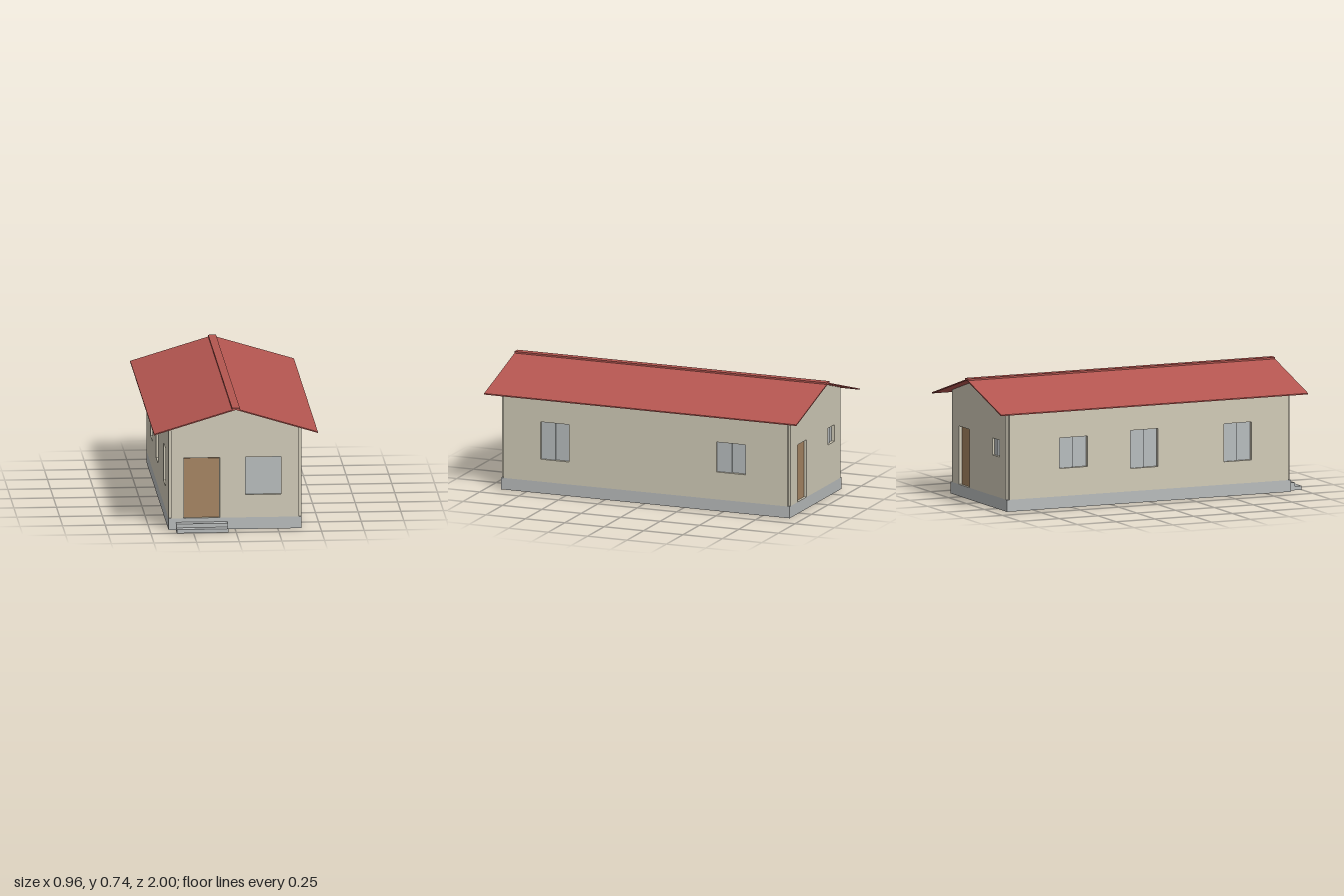
import * as THREE from 'three';

const mat = (name, color) => {
  const m = new THREE.MeshStandardMaterial({ color });
  m.name = name;
  return m;
};

export function createModel() {
  const wallMat = mat('plaster', 0xd0cab7);
  const stoneMat = mat('concrete', 0xb8bbbb);
  const glassMat = mat('glass', 0xb7bcbd);
  const doorMat = mat('wood', 0xa58462);
  const roofMat = mat('roof red', 0xb45650);

  const house = new THREE.Group();
  house.name = 'house';

  // Box given by its limits on each axis
  const box = (parent, name, m, x0, x1, y0, y1, z0, z1) => {
    const mesh = new THREE.Mesh(new THREE.BoxGeometry(x1 - x0, y1 - y0, z1 - z0), m);
    mesh.position.set((x0 + x1) / 2, (y0 + y1) / 2, (z0 + z1) / 2);
    mesh.name = name;
    parent.add(mesh);
  };

  const extrude = (parent, name, m, shape, z0, z1) => {
    const geo = new THREE.ExtrudeGeometry(shape, { depth: z1 - z0, bevelEnabled: false });
    geo.translate(0, 0, z0);
    const mesh = new THREE.Mesh(geo, m);
    mesh.name = name;
    parent.add(mesh);
  };

  const polygon = pts => new THREE.Shape(pts.map(p => new THREE.Vector2(...p)));

  // Plinth and front steps
  const base = 0.07;
  box(house, 'plinth', stoneMat, -0.39, 0.39, 0, base, -0.92, 0.91);
  box(house, 'lowerStep', stoneMat, -0.348, -0.046, 0, 0.023, 0.9, 1);
  box(house, 'upperStep', stoneMat, -0.348, -0.046, 0, 0.046, 0.9, 0.955);

  // Wall in its own frame: outer face at z = 0, openings as [x0, x1, y0, y1]
  const thick = 0.03;
  const addWall = (name, outline, windows, doors, angle, x, z) => {
    const wall = new THREE.Group();
    wall.name = name;
    const shape = polygon(outline);
    for (const [x0, x1, y0, y1] of windows) {
      shape.holes.push(new THREE.Path(
        [[x0, y0], [x0, y1], [x1, y1], [x1, y0]].map(p => new THREE.Vector2(...p))));
      // Two sliding panes, one set slightly forward
      const mid = (x0 + x1) / 2;
      box(wall, 'windowPane', glassMat, x0, mid, y0, y1, -thick, -0.013);
      box(wall, 'windowPane', glassMat, mid, x1, y0, y1, -thick, -0.021);
    }
    for (const [x0, x1, y0, y1] of doors) {
      shape.holes.push(new THREE.Path(
        [[x0, y0 + 0.0005], [x0, y1], [x1, y1], [x1, y0 + 0.0005]].map(p => new THREE.Vector2(...p))));
      box(wall, 'doorFrame', wallMat, x0, x1, y0, y1, -thick, -0.022);
      box(wall, 'doorLeaf', doorMat, x0 + 0.004, x1 - 0.004, y0, y1 - 0.005, -thick, -0.016);
    }
    extrude(wall, name + 'Panel', wallMat, shape, -thick, 0);
    wall.rotation.y = angle;
    wall.position.set(x, 0, z);
    house.add(wall);
  };

  // Gable walls stop short of the corners, leaving small notches
  const gable = [[-0.375, base], [0.375, base], [0.375, 0.615], [0, 0.729], [-0.375, 0.615]];
  addWall('frontWall', gable, [[0.06, 0.27, 0.205, 0.43]], [[-0.303, -0.09, base, 0.43]], 0, 0, 0.91);
  addWall('backWall', gable, [[0.19, 0.288, 0.31, 0.41]], [[-0.275, -0.132, base, 0.415]], Math.PI, 0, -0.92);

  // Side walls
  const side = (a, b) => [[a, base], [b, base], [b, 0.612], [a, 0.612]];
  addWall('leftWall', side(-0.895, 0.905),
    [[-0.66, -0.48, 0.205, 0.43], [0.455, 0.64, 0.235, 0.415]], [], Math.PI / 2, 0.39, 0);
  addWall('rightWall', side(-0.905, 0.895),
    [[-0.58, -0.4, 0.235, 0.415], [-0.125, 0.055, 0.205, 0.43], [0.478, 0.658, 0.205, 0.43]],
    [], -Math.PI / 2, -0.39, 0);

  // Roof slopes and ridge cap
  const t = 0.007;
  for (const s of [-1, 1]) {
    extrude(house, 'roofSlope', roofMat,
      polygon([[0, 0.729], [s * 0.48, 0.584], [s * 0.48, 0.584 + t], [0, 0.729 + t]]), -1, 0.98);
  }
  box(house, 'ridgeCap', roofMat, -0.023, 0.023, 0.73, 0.74, -1, 0.98);

  return house;
}
